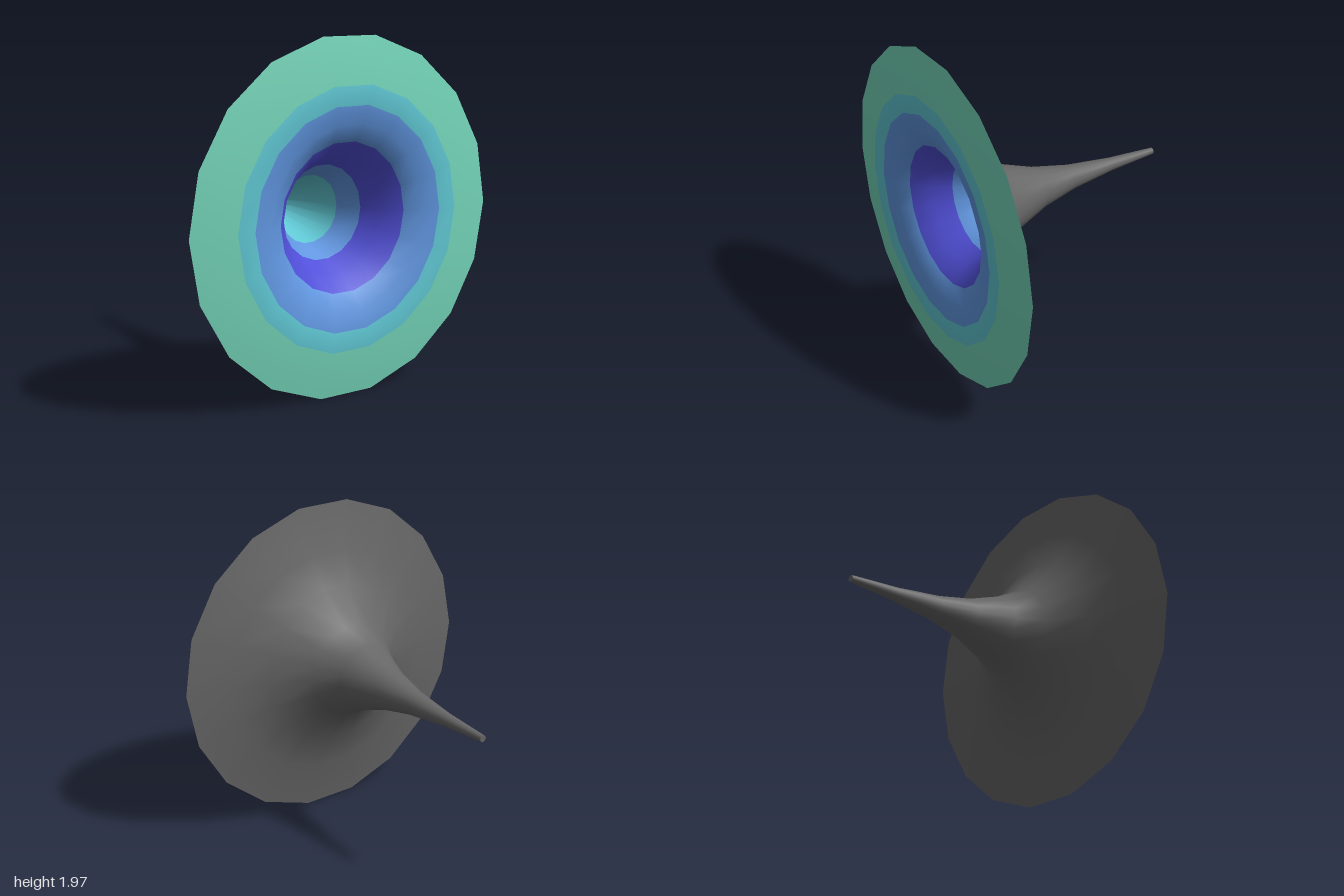
import * as THREE from 'three';

const SIDES = 18;
const CENTRE_Y = 0.985;

function flat(name, color) {
  const m = new THREE.MeshStandardMaterial({ color });
  m.name = name;
  return m;
}

// Turned surface around the z axis; profile points are [radius, z]
function turned(profile) {
  const pts = profile.map(([r, z]) => new THREE.Vector2(r, z));
  return new THREE.LatheGeometry(pts, SIDES, Math.PI / 2).rotateX(Math.PI / 2);
}

// Regroup a turned surface so that each profile band has its own material
function groupBands(geometry, bandMaterials) {
  const old = geometry.index.array;
  const bands = bandMaterials.length;
  const index = [];
  geometry.clearGroups();
  bandMaterials.forEach((material, band) => {
    const start = index.length;
    for (let s = 0; s < SIDES; s++) {
      const at = (s * bands + band) * 6;
      for (let k = 0; k < 6; k++) index.push(old[at + k]);
    }
    geometry.addGroup(start, index.length - start, material);
  });
  geometry.setIndex(index);
  return geometry;
}

export function createModel() {
  const model = new THREE.Group();
  model.name = 'flaredHorn';

  const grey = flat('dark grey', 0x666666);
  const green = flat('sea green', 0x75d6ba);
  const cyan = flat('cyan', 0x60c8d4);
  const blue = flat('blue', 0x6096e0);
  const purple = flat('indigo', 0x504fd8);

  const add = (name, geometry, material, z = 0) => {
    const mesh = new THREE.Mesh(geometry, material);
    mesh.name = name;
    mesh.position.set(0, CENTRE_Y, z);
    model.add(mesh);
    return mesh;
  };

  // Outer shell, from the thin tail to the wide rim
  add('outerShell', turned([
    [0.02, -0.76], [0.04, -0.45], [0.075, -0.16], [0.125, 0.07], [0.205, 0.29],
    [0.29, 0.45], [0.5, 0.595], [0.715, 0.668], [1, 0.718],
  ]), grey);

  // Inside of the bell, from the rim down into the throat, in coloured rings
  const bell = turned([
    [1, 0.718], [0.735, 0.76], [0.625, 0.753], [0.52, 0.735], [0.42, 0.685],
    [0.33, 0.585], [0.27, 0.485], [0.195, 0.36], [0.035, -0.12],
  ]);
  const palette = [green, cyan, blue, purple];
  add('bellInterior', groupBands(bell, [0, 1, 2, 2, 3, 3, 2, 1]), palette);

  // Small discs closing the throat and the tail
  add('throatEnd', new THREE.CircleGeometry(0.037, SIDES), grey, -0.118);
  add('tailEnd', new THREE.CircleGeometry(0.02, SIDES).rotateY(Math.PI), grey, -0.76);

  return model;
}
